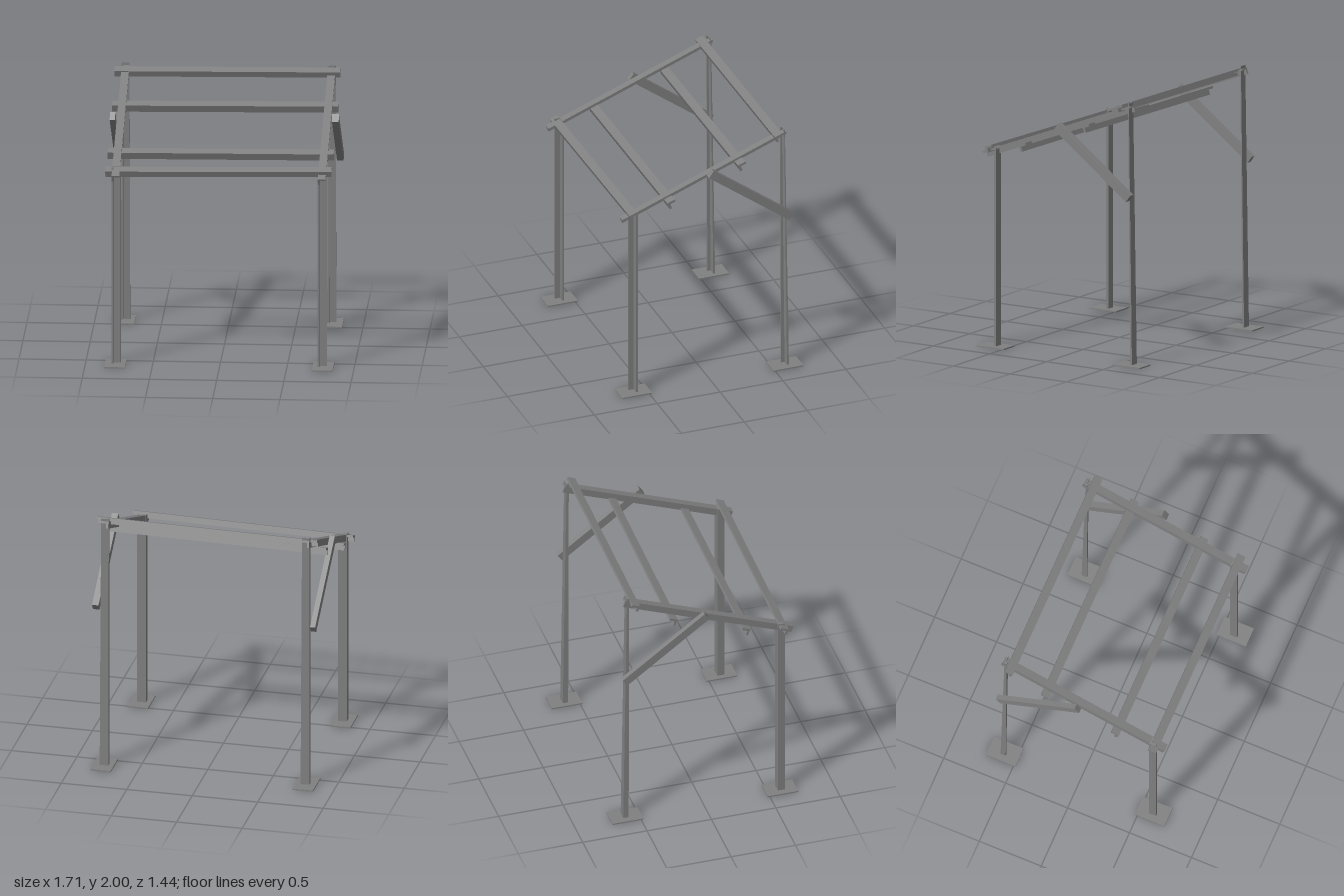
import * as THREE from 'three';

const steel = new THREE.MeshStandardMaterial({ color: 0x808080 });
steel.name = 'grey steel';

// L-shaped section; su, sv give the side on which the corner lies
function angleSection(w, h, t, su, sv) {
  const a = w / 2, b = h / 2;
  let pts = [[-a, -b], [-a + t, -b], [-a + t, b - t], [a, b - t], [a, b], [-a, b]];
  pts = pts.map(([x, y]) => new THREE.Vector2(-su * x, sv * y));
  return new THREE.Shape(pts);
}

function boxSection(w, h) {
  const a = w / 2, b = h / 2;
  return new THREE.Shape([[-a, -b], [a, -b], [a, b], [-a, b]].map(p => new THREE.Vector2(...p)));
}

// Straight bar of a given section from a to b; side is the section's x direction
function bar(name, a, b, side, section) {
  const from = new THREE.Vector3(...a);
  const along = new THREE.Vector3(...b).sub(from);
  const geo = new THREE.ExtrudeGeometry(section, { depth: along.length(), bevelEnabled: false });
  along.normalize();
  const v = new THREE.Vector3().crossVectors(along, new THREE.Vector3(...side)).normalize();
  const u = new THREE.Vector3().crossVectors(v, along);
  geo.applyMatrix4(new THREE.Matrix4().makeBasis(u, v, along).setPosition(from));
  const mesh = new THREE.Mesh(geo, steel);
  mesh.name = name;
  return mesh;
}

export function createModel() {
  const model = new THREE.Group();
  model.name = 'leanToFrame';

  for (const s of [-1, 1]) {
    const label = s > 0 ? 'left' : 'right';
    const x = s > 0 ? 0.763 : -0.771;

    // Base plates
    for (const z of [0.6, -0.603]) {
      const plate = new THREE.Mesh(new THREE.BoxGeometry(0.155, 0.01, 0.238), steel);
      plate.position.set(s > 0 ? 0.768 : -0.777, 0.005, z);
      plate.name = label + 'BasePlate';
      model.add(plate);
    }

    // Front post
    model.add(bar(label + 'FrontPost', [x, 0.01, 0.603], [x, 1.525, 0.603], [1, 0, 0],
      angleSection(0.067, 0.055, 0.015, -1, 1)));

    // Back post, narrowing in depth towards the top
    const back = bar(label + 'BackPost', [x, 0.01, -0.604], [x, 1.995, -0.604], [1, 0, 0],
      angleSection(0.067, 0.042, 0.015, -1, 1));
    const p = back.geometry.attributes.position;
    for (let i = 0; i < p.count; i++) {
      const f = p.getY(i) / 2;
      p.setZ(i, THREE.MathUtils.lerp(-0.604, -0.586, f) + (p.getZ(i) + 0.604) * (1 - 0.58 * f));
      p.setX(i, x + (p.getX(i) - x) * (1 - 0.12 * f));
    }
    back.geometry.computeVertexNormals();
    model.add(back);

    // Sloping rafter
    model.add(bar(label + 'Rafter', [x, 1.455, 0.69], [x, 1.955, -0.615], [-1, 0, 0],
      angleSection(0.058, 0.052, 0.015, 1, 1)));

    // Diagonal brace outside the frame
    const bx = s > 0 ? 0.826 : -0.833, drop = s > 0 ? 0 : -0.012;
    model.add(bar(label + 'Brace', [bx, 1.76 + drop, 0.012], [bx, 1.285 + drop, -0.625], [-1, 0, 0],
      boxSection(s > 0 ? 0.05 : 0.04, 0.062)));
  }

  // Cross bars: name, right end [y, z], left end [y, z], height
  const slope = [0, 0.357, -0.934];
  const crossBars = [
    ['frontBeam', [1.486, 0.61], [1.514, 0.618], 0.048],
    ['lowerPurlin', [1.545, 0.31], [1.56, 0.316], 0.056],
    ['upperPurlin', [1.75, -0.255], [1.772, -0.246], 0.056],
    ['backBeam', [1.937, -0.546], [1.957, -0.537], 0.048],
  ];
  for (const [name, r, l, h] of crossBars) {
    model.add(bar(name, [-0.85, ...r], [0.833, ...l], slope, angleSection(0.063, h, 0.018, -1, 1)));
  }
  return model;
}
